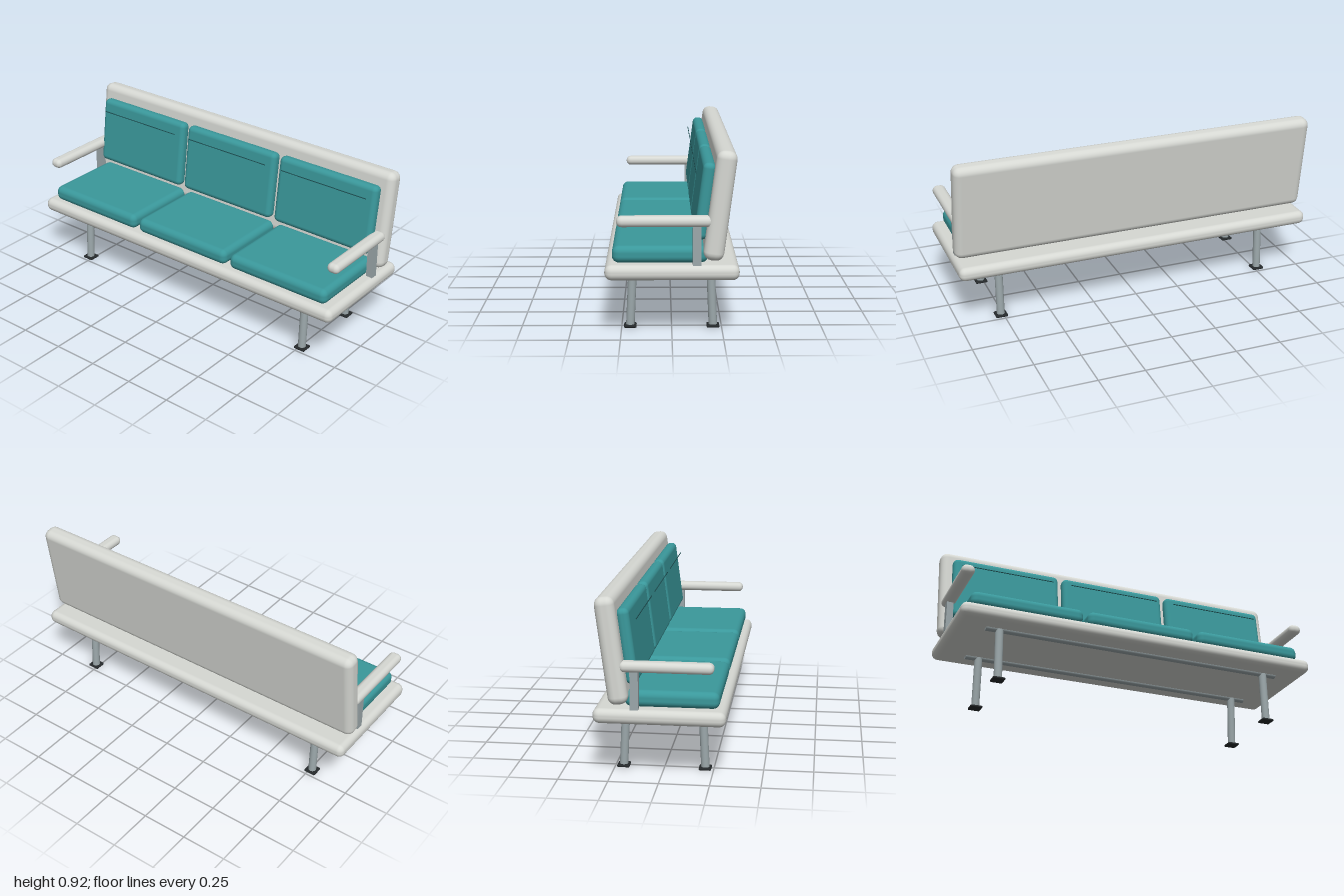
import * as THREE from 'three';
import { RoundedBoxGeometry } from 'three/addons/geometries/RoundedBoxGeometry.js';

const material = (name, color) => {
  const m = new THREE.MeshStandardMaterial({ color });
  m.name = name;
  return m;
};

export function createModel() {
  const model = new THREE.Group();
  model.name = 'threeSeatBench';

  const shell = material('pale grey shell', 0xd6d8d3);
  const fabric = material('teal fabric', 0x3a989b);
  const metal = material('brushed metal', 0x9ca8ab);
  const rubber = material('dark rubber', 0x25292b);
  const thread = material('dark seam', 0x1c4f52);

  const LEAN = -0.13; // backward tilt of the back

  const add = (name, geometry, mat, x, y, z, rx = 0) => {
    const mesh = new THREE.Mesh(geometry, mat);
    mesh.name = name;
    mesh.position.set(x, y, z);
    mesh.rotation.x = rx;
    model.add(mesh);
    return mesh;
  };
  const rounded = (w, h, d, r) => new RoundedBoxGeometry(w, h, d, 3, r);

  // Platform and leaning backrest
  add('seatPlatform', rounded(2, 0.076, 0.652, 0.034), shell, 0, 0.328, 0);
  add('backrest', rounded(2, 0.537, 0.1, 0.04), shell, 0, 0.652, -0.231, LEAN);

  // Three seat and back cushions, each back with a seam
  const seatCushion = rounded(0.612, 0.085, 0.466, 0.034);
  const backCushion = rounded(0.612, 0.378, 0.064, 0.028);
  const seam = new THREE.BoxGeometry(0.53, 0.004, 0.003);
  for (const i of [-1, 0, 1]) {
    const x = i * 0.638;
    add('seatCushion', seatCushion, fabric, x, 0.407, 0.058);
    add('backCushion', backCushion, fabric, x, 0.667, -0.159, LEAN);
    add('cushionSeam', seam, thread, x, 0.798, -0.117, LEAN);
  }

  // Armrests on short posts
  const arm = rounded(0.07, 0.054, 0.463, 0.026);
  const post = new THREE.BoxGeometry(0.036, 0.2, 0.041);
  for (const side of [-1, 1]) {
    add('armrest', arm, shell, side * 0.96, 0.578, 0.036);
    add('armPost', post, metal, side * 0.962, 0.46, -0.12);
  }

  // Under-seat rails, slightly splayed legs and feet
  const rail = new THREE.CylinderGeometry(0.019, 0.019, 1.68, 16).rotateZ(Math.PI / 2);
  const leg = new THREE.CylinderGeometry(0.0215, 0.0215, 0.29, 20);
  const foot = rounded(0.066, 0.013, 0.063, 0.006);
  for (const end of [-1, 1]) {
    add('underRail', rail, metal, 0, 0.294, end * 0.194);
    for (const side of [-1, 1]) {
      add('leg', leg, metal, side * 0.765, 0.155, end * 0.2005, -end * 0.045);
      add('foot', foot, rubber, side * 0.765, 0.0065, end * 0.207);
    }
  }
  return model;
}
